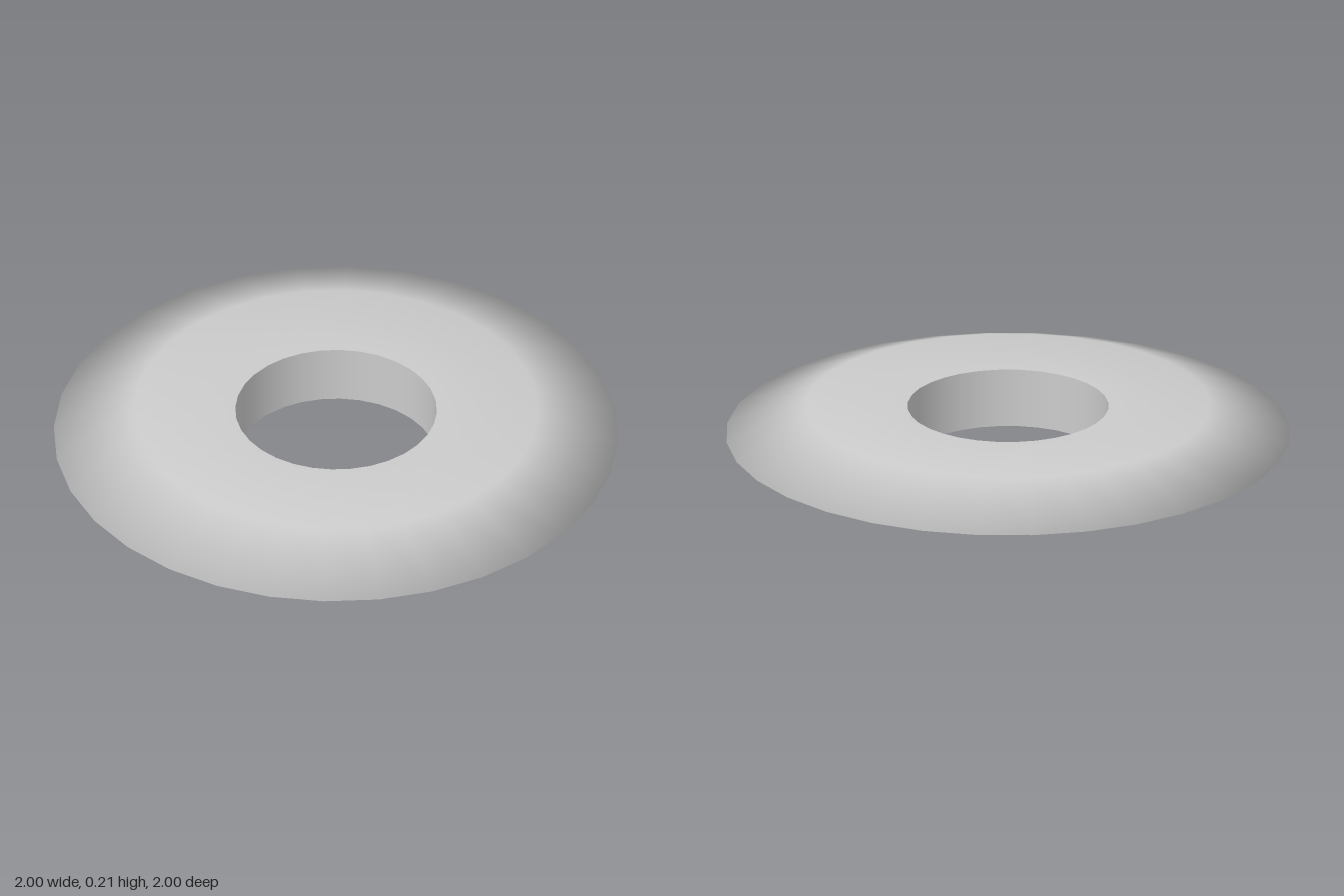
import * as THREE from 'three';

const SIDES = 32;
const HEIGHT = 0.214;
const HOLE_RADIUS = 0.357;
const FLAT_RADIUS = 0.715;
const RIM_RADIUS = 1;

export function createModel() {
  const group = new THREE.Group();
  group.name = 'bevelledRing';
  const material = new THREE.MeshStandardMaterial({ color: 0xcccccc });

  // Revolves a profile of [radius, height] points around the y axis.
  const addLathe = (name, profile) => {
    const points = profile.map(([r, y]) => new THREE.Vector2(r, y));
    const mesh = new THREE.Mesh(new THREE.LatheGeometry(points, SIDES), material);
    mesh.name = name;
    group.add(mesh);
  };

  // Flat faces blending smoothly into the sharp bevelled rim.
  addLathe('ringBody', [
    [HOLE_RADIUS, 0],
    [FLAT_RADIUS, 0],
    [RIM_RADIUS, HEIGHT / 2],
    [FLAT_RADIUS, HEIGHT],
    [HOLE_RADIUS, HEIGHT],
  ]);

  // Straight wall of the hole, a separate surface so its edges stay crisp.
  addLathe('holeWall', [
    [HOLE_RADIUS, HEIGHT],
    [HOLE_RADIUS, 0],
  ]);

  return group;
}
